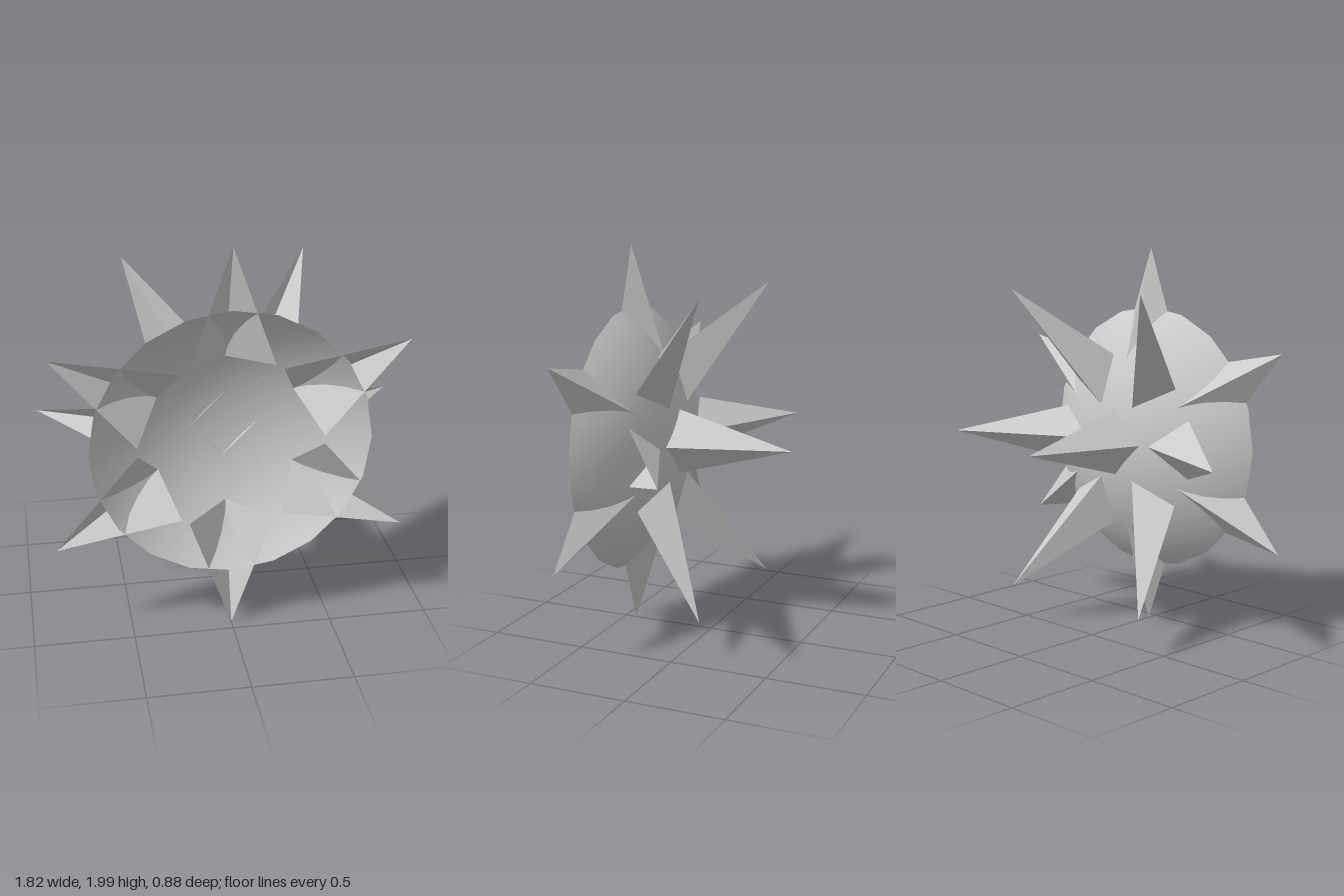
import * as THREE from 'three';

const smooth = new THREE.MeshStandardMaterial({ color: 0xcccccc, side: THREE.DoubleSide });
const faceted = new THREE.MeshStandardMaterial({ color: 0xcccccc, side: THREE.DoubleSide, flatShading: true });

function addMesh(parent, name, geometry, material) {
  const mesh = new THREE.Mesh(geometry, material);
  mesh.name = name;
  parent.add(mesh);
  return mesh;
}

// Open two-faced spike pointing along +x: tip, one inner ridge corner, two mirrored side corners
function openSpike(tip, ridge, side) {
  const left = side;
  const right = [side[0], -side[1], side[2]];
  const geometry = new THREE.BufferGeometry();
  const corners = [tip, ridge, left, tip, right, ridge].flat();
  geometry.setAttribute('position', new THREE.Float32BufferAttribute(corners, 3));
  geometry.computeVertexNormals();
  return geometry;
}

// Six copies of a spike around the z axis
function addRing(parent, name, geometry, startAngle) {
  const ring = new THREE.Group();
  ring.name = name + 'Ring';
  for (let i = 0; i < 6; i++) {
    addMesh(ring, name, geometry, faceted).rotation.z = startAngle + (i * Math.PI) / 3;
  }
  parent.add(ring);
}

export function createModel() {
  const model = new THREE.Group();
  model.name = 'spikedDome';
  const body = new THREE.Group();
  body.name = 'body';
  body.position.y = 1;
  model.add(body);

  // Shallow open dome bulging towards the back
  const radius = 0.99;
  const rim = 0.69;
  const dome = new THREE.SphereGeometry(radius, 20, 8, 0, Math.PI * 2, 0, Math.asin(rim / radius));
  dome.rotateX(-Math.PI / 2);
  dome.translate(0, 0, 0.16 + radius);
  addMesh(body, 'dome', dome, smooth);

  // Complete four-sided spike at the pole
  const centre = new THREE.ConeGeometry(0.168, 0.615, 4, 1, true);
  centre.rotateX(-Math.PI / 2);
  centre.translate(0, 0, -0.128);
  addMesh(body, 'centreSpike', centre, faceted);

  // Slanted spikes halfway out
  addRing(body, 'slantedSpike',
    openSpike([0.912, 0, -0.135], [0.22, 0, 0.183], [0.43, 0.148, 0.252]), 0);

  // Flat spikes along the rim
  addRing(body, 'rimSpike',
    openSpike([0.995, 0, 0.44], [0.39, 0, 0.245], [0.407, 0.21, 0.44]), Math.PI / 6);

  return model;
}
